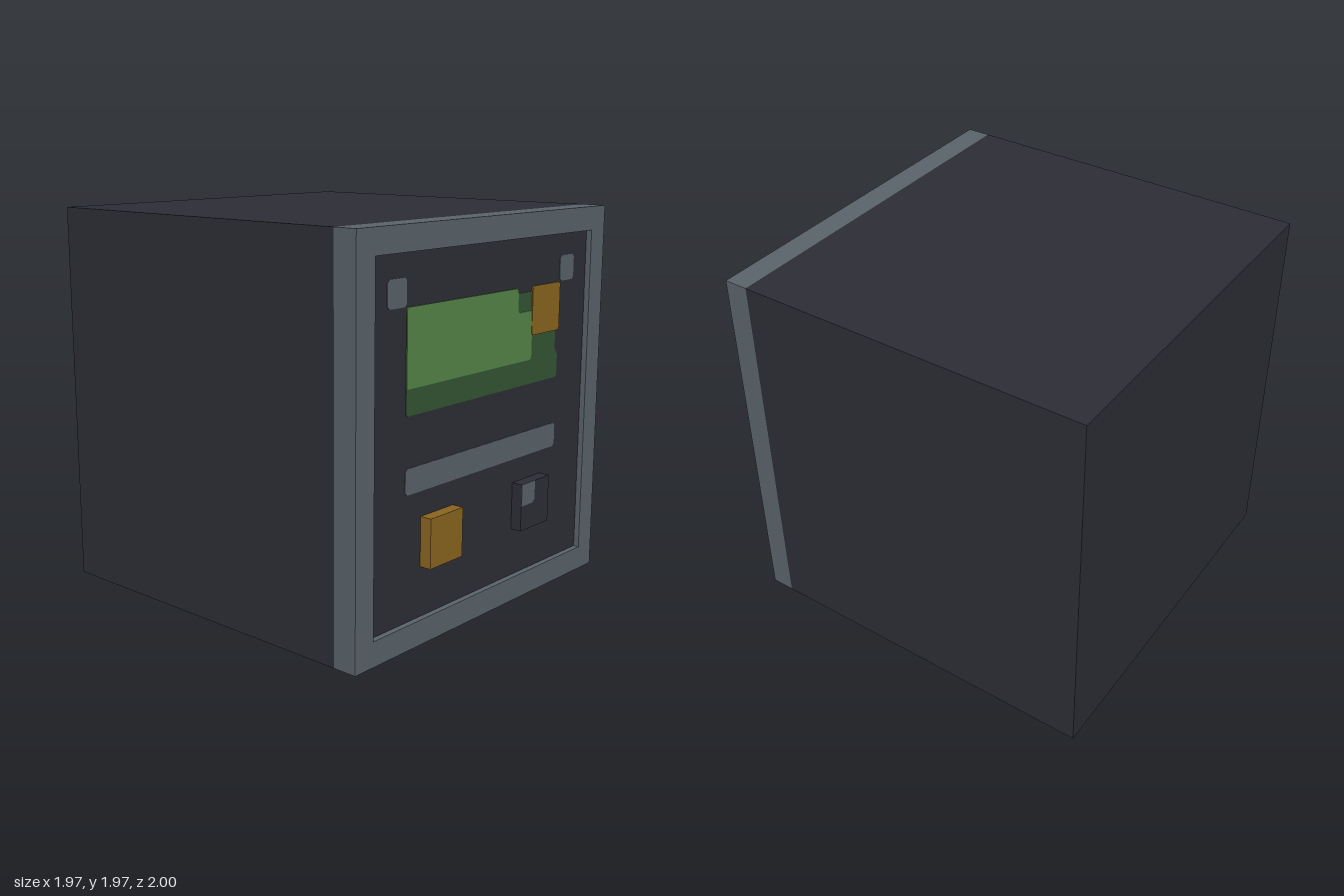
import * as THREE from 'three';

const material = (name, color) => {
  const m = new THREE.MeshStandardMaterial({ color });
  m.name = name;
  return m;
};

export function createModel() {
  const dark = material('charcoal', 0x2d2d36);
  const grey = material('slate grey', 0x5a646a);
  const green = material('screen green', 0x568648);
  const deepGreen = material('deep green', 0x345634);
  const amber = material('amber', 0x8b6520);

  const model = new THREE.Group();
  model.name = 'controlBlock';
  const HALF = 0.985, HEIGHT = 1.97, FACE = 0.97, PANEL = 0.94, SEAM = 0.845;

  function add(name, geometry, mat) {
    const mesh = new THREE.Mesh(geometry, mat);
    mesh.name = name;
    model.add(mesh);
    return mesh;
  }

  // box given by its extents
  function box(name, x0, x1, y0, y1, z0, z1, mat) {
    const g = new THREE.BoxGeometry(x1 - x0, y1 - y0, z1 - z0);
    g.translate((x0 + x1) / 2, (y0 + y1) / 2, (z0 + z1) / 2);
    return add(name, g, mat);
  }

  // thin outline plate lying on a front surface
  function plate(name, points, z, mat, depth = 0.003) {
    const shape = new THREE.Shape(points.map(([x, y]) => new THREE.Vector2(x, y)));
    const g = new THREE.ExtrudeGeometry(shape, { depth, bevelEnabled: false });
    g.translate(0, 0, z);
    return add(name, g, mat);
  }

  // rectangle outline with clipped corners
  const clipped = (x0, x1, y0, y1, c = 0.014) => [
    [x0 + c, y0], [x1 - c, y0], [x1, y0 + c], [x1, y1 - c],
    [x1 - c, y1], [x0 + c, y1], [x0, y1 - c], [x0, y0 + c],
  ];

  // casing and recessed panel
  box('casing', -HALF, HALF, 0, HEIGHT, -1, SEAM, dark);
  box('frontPanel', -0.862, 0.862, 0.124, 1.848, SEAM, PANEL, dark);

  // frame around the front
  const rim = new THREE.Shape([
    new THREE.Vector2(-HALF, 0), new THREE.Vector2(HALF, 0),
    new THREE.Vector2(HALF, HEIGHT), new THREE.Vector2(-HALF, HEIGHT),
  ]);
  rim.holes.push(new THREE.Path([
    new THREE.Vector2(-0.862, 0.124), new THREE.Vector2(-0.862, 1.848),
    new THREE.Vector2(0.862, 1.848), new THREE.Vector2(0.862, 0.124),
  ]));
  const rimGeometry = new THREE.ExtrudeGeometry(rim, { depth: FACE - SEAM, bevelEnabled: false });
  rimGeometry.translate(0, 0, SEAM);
  add('frontFrame', rimGeometry, grey);

  // screen: deep green base, bright area, amber square
  plate('screenBase', [
    [-0.615, 1.12], [-0.605, 1.108], [0.603, 1.108], [0.615, 1.12], [0.615, 1.225],
    [0.59, 1.26], [0.59, 1.4], [0.37, 1.4], [0.37, 1.575], [-0.615, 1.575],
  ], PANEL, deepGreen);
  plate('screenBright', [
    [-0.615, 1.232], [0.36, 1.232], [0.372, 1.245], [0.372, 1.48], [0.257, 1.48],
    [0.246, 1.49], [0.246, 1.59], [0.236, 1.602], [-0.615, 1.602],
  ], PANEL, green, 0.006);
  plate('screenSquare', clipped(0.368, 0.615, 1.355, 1.602, 0.01), PANEL, amber, 0.008);

  // corner studs and divider bar
  plate('leftStud', clipped(0.615, 0.742, 1.604, 1.735), PANEL, grey);
  plate('rightStud', clipped(-0.75, -0.617, 1.604, 1.735), PANEL, grey);
  plate('dividerBar', clipped(-0.615, 0.615, 0.739, 0.865), PANEL, grey);

  // raised buttons, the dark one with a pale corner
  box('amberButton', -0.495, -0.25, 0.372, 0.616, PANEL, 1, amber);
  box('darkButton', 0.246, 0.492, 0.372, 0.616, PANEL, 0.998, dark);
  plate('buttonCorner', [
    [0.246, 0.502], [0.345, 0.502], [0.362, 0.518], [0.362, 0.616], [0.246, 0.616],
  ], 0.998, grey, 0.002);

  return model;
}
